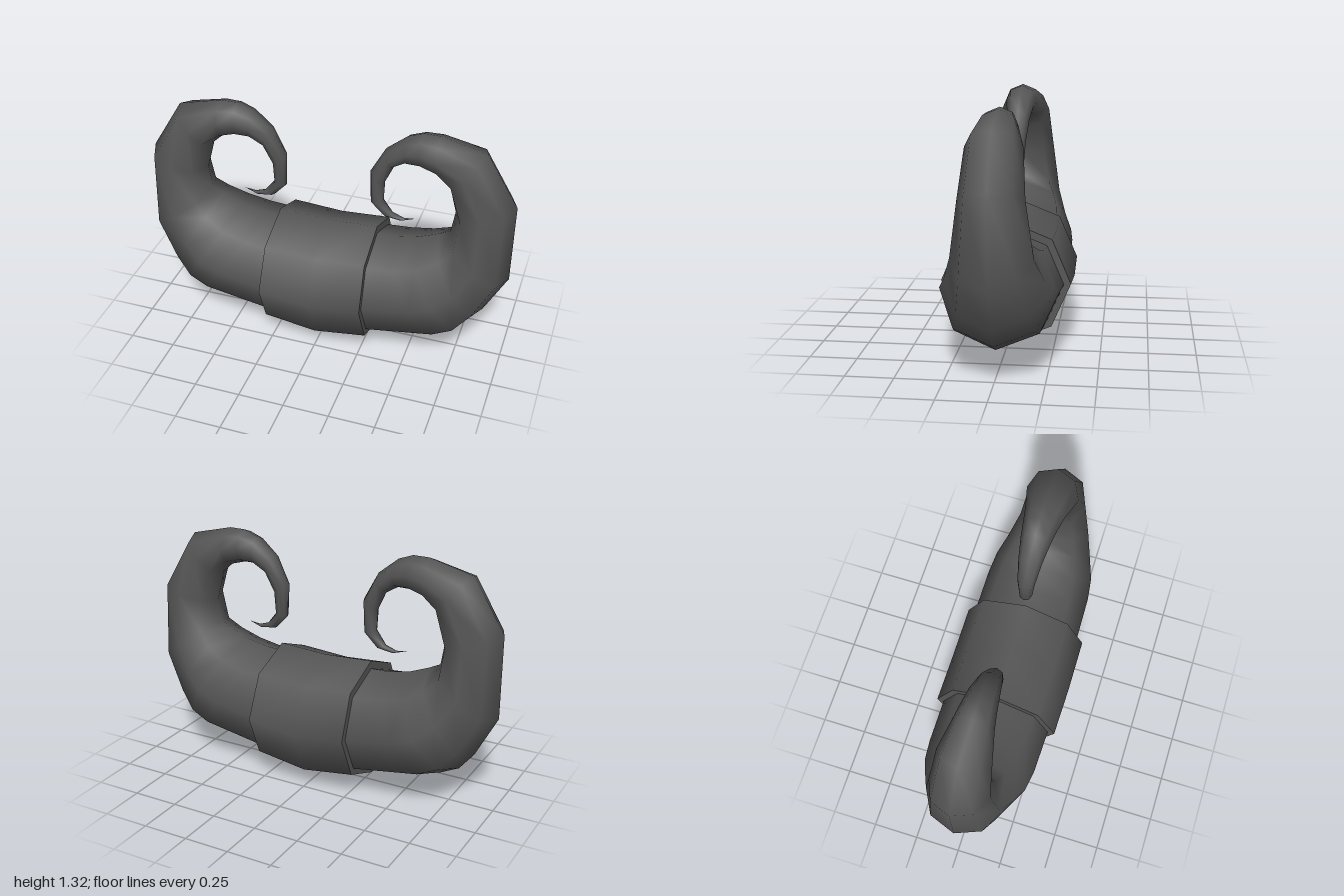
import * as THREE from 'three';
import { mergeGeometries } from 'three/addons/utils/BufferGeometryUtils.js';

const SIDES = 8;

// Sections: [outer x, outer y, inner x, inner y, half depth], from the middle to the tip
const HORN = [
  [0, 0.045, 0, 0.655, 0.305],
  [0.28, 0.08, 0.28, 0.662, 0.305],
  [0.70, 0.15, 0.37, 0.665, 0.30],
  [0.80, 0.20, 0.50, 0.69, 0.285],
  [0.88, 0.30, 0.61, 0.735, 0.245],
  [1.00, 0.53, 0.67, 0.765, 0.20],
  [1.00, 0.98, 0.69, 0.89, 0.16],
  [0.83, 1.26, 0.645, 1.06, 0.14],
  [0.59, 1.32, 0.585, 1.115, 0.105],
  [0.50, 1.32, 0.50, 1.14, 0.09],
  [0.42, 1.29, 0.42, 1.14, 0.078],
  [0.31, 1.20, 0.355, 1.10, 0.062],
  [0.23, 1.05, 0.31, 1.00, 0.047],
  [0.235, 0.87, 0.305, 0.88, 0.035],
  [0.31, 0.79, 0.36, 0.81, 0.022],
  [0.40, 0.775, 0.42, 0.79, 0.012],
  [0.48, 0.80, 0.48, 0.80, 0],
];

const BAND = [
  [-0.29, 0.045, -0.275, 0.705, 0.342],
  [0, 0, 0, 0.69, 0.345],
  [0.29, 0.045, 0.275, 0.705, 0.342],
];

// Skin a row of octagonal sections
function loft(sections) {
  const positions = [];
  const index = [];
  sections.forEach(([ox, oy, ix, iy, depth], i) => {
    const cx = (ox + ix) / 2;
    const cy = (oy + iy) / 2;
    for (let j = 0; j < SIDES; j++) {
      const t = (j / SIDES) * Math.PI * 2;
      const c = Math.cos(t);
      positions.push(cx + (ox - cx) * c, cy + (oy - cy) * c, depth * Math.sin(t));
      if (i === 0) continue;
      const k = (j + 1) % SIDES;
      const a = (i - 1) * SIDES;
      const b = i * SIDES;
      index.push(a + j, b + j, b + k, a + j, b + k, a + k);
    }
  });
  const geometry = new THREE.BufferGeometry();
  geometry.setAttribute('position', new THREE.Float32BufferAttribute(positions, 3));
  geometry.setIndex(index);
  geometry.computeVertexNormals();
  return geometry;
}

const mirror = (sections) =>
  sections.map(([ox, oy, ix, iy, d]) => [-ox, oy, -ix, iy, d]).reverse();

// Collapse a section to its centre, used to close an end
function centre([ox, oy, ix, iy]) {
  const x = (ox + ix) / 2;
  const y = (oy + iy) / 2;
  return [x, y, x, y, 0];
}

export function createModel() {
  const group = new THREE.Group();
  group.name = 'curledHorns';
  const charcoal = new THREE.MeshStandardMaterial({ color: 0x555555 });
  charcoal.name = 'charcoal';

  const add = (name, geometry) => {
    const mesh = new THREE.Mesh(geometry, charcoal);
    mesh.name = name;
    group.add(mesh);
  };

  // Horns curling up and inwards
  add('leftHorn', loft(HORN));
  add('rightHorn', loft(mirror(HORN)));

  // Central band with sharp, flat ends
  const first = BAND[0];
  const last = BAND[BAND.length - 1];
  add('centreBand', mergeGeometries([
    loft(BAND),
    loft([centre(first), first]),
    loft([last, centre(last)]),
  ]));

  return group;
}
